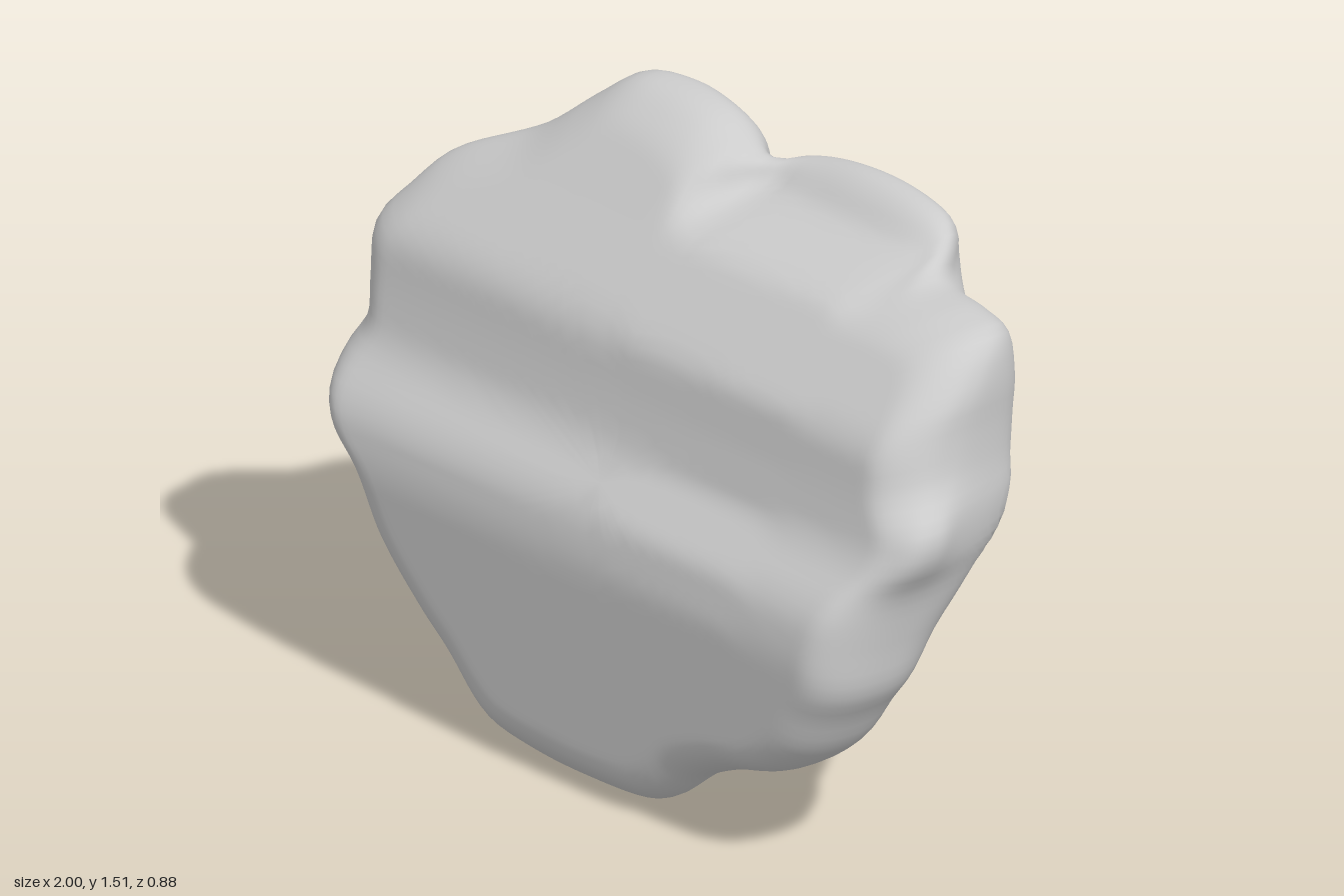
import * as THREE from 'three';

// Rim of the slab, counter-clockwise (x, y)
const rim = [
  [0, 0.0], [0.2, 0.015], [0.27, 0.045], [0.36, 0.12], [0.5, 0.185], [0.67, 0.24], [0.78, 0.32], [0.84, 0.42],
  [0.89, 0.5], [0.91, 0.62], [0.94, 0.75], [0.99, 0.84], [0.995, 0.91], [0.94, 1.0], [0.92, 1.1], [0.91, 1.2],
  [0.86, 1.3], [0.75, 1.325], [0.57, 1.34], [0.5, 1.4], [0.42, 1.43], [0.2, 1.45], [0, 1.43], [-0.07, 1.415],
  [-0.15, 1.45], [-0.25, 1.49], [-0.4, 1.51], [-0.52, 1.5], [-0.6, 1.44], [-0.7, 1.35], [-0.9, 1.25], [-0.96, 1.17],
  [-1, 1.1], [-0.99, 0.97], [-0.975, 0.88], [-1, 0.81], [-0.995, 0.74], [-0.95, 0.65], [-0.85, 0.56], [-0.75, 0.4],
  [-0.6, 0.25], [-0.5, 0.17], [-0.4, 0.08], [-0.33, 0.035], [-0.2, 0.01],
];

// Depth profiles: [y, z] for the faces, [x, z] for the rear limit
const frontLow = [[0, 0.42], [0.07, 0.45], [0.6, 0.45], [0.72, 0.42], [0.84, 0.3], [0.97, 0.26], [1.1, 0.23], [1.3, 0.03]];
const frontPlain = [...frontLow, [1.46, -0.12], [1.51, -0.17]];
const frontLedge = [...frontLow, [1.32, -0.01], [1.35, -0.19], [1.38, -0.23], [1.46, -0.27]];
const back = [[0, 0.28], [0.06, 0.23], [0.2, 0.12], [0.3, 0.1], [0.53, 0.05], [0.62, -0.02], [0.7, -0.11],
  [0.83, -0.2], [0.95, -0.25], [1.09, -0.3], [1.2, -0.39], [1.3, -0.45], [1.4, -0.45], [1.5, -0.42]];
const rear = [[-1, 0.05], [-0.95, -0.02], [-0.8, -0.12], [-0.7, -0.22], [-0.57, -0.34], [-0.38, -0.39], [-0.1, -0.37],
  [0.05, -0.43], [0.27, -0.455], [0.45, -0.42], [0.6, -0.3], [0.85, -0.25], [0.91, -0.19], [0.95, -0.02], [1, 0.08]];

// Dents (positive) and swells (negative) of the back: x, y, height, radius
const lumps = [[-0.2, 0.85, 0.05, 0.14], [-0.12, 0.23, 0.05, 0.13], [0.6, 1.06, 0.05, 0.16], [0.58, 0.34, 0.04, 0.15],
  [-0.07, 1.35, 0.09, 0.08], [-0.6, 0.92, 0.03, 0.16], [0.85, 0.82, 0.04, 0.15], [0.2, 0.9, -0.04, 0.2]];

function lerpTable(table, v) {
  if (v <= table[0][0]) return table[0][1];
  for (let i = 1; i < table.length; i++) {
    const [a, za] = table[i - 1], [b, zb] = table[i];
    if (v <= b) return za + (zb - za) * (v - a) / (b - a);
  }
  return table[table.length - 1][1];
}
// Averaged lookup softens the corners of a profile
const soft = (table, v, r) => [-1, -0.5, 0, 0.5, 1].reduce((s, o) => s + lerpTable(table, v + o * r), 0) / 5;
const bell = (x, y, cx, cy, r) => Math.exp(-((x - cx) ** 2 + (y - cy) ** 2) / (r * r));
const { smoothstep } = THREE.MathUtils;

// The upper middle steps back in a ledge, the two sides run straight up
function frontZ(x, y) {
  const w = smoothstep(x, -0.14, 0) * (1 - smoothstep(x, 0.5, 0.62));
  return soft(frontPlain, y, 0.04) * (1 - w) + soft(frontLedge, y, 0.02) * w - 0.07 * bell(x, y, -0.08, 1.38, 0.05);
}
function backZ(x, y) {
  const p = soft(back, y, 0.04), q = soft(rear, x, 0.03);
  let z = (p + q + Math.sqrt((p - q) ** 2 + 0.002)) / 2 - 0.01;
  for (const [cx, cy, h, r] of lumps) z += h * bell(x, y, cx, cy, r);
  return Math.min(z, frontZ(x, y) - 0.1);
}

function slabGeometry() {
  const N = 180, M = 32, cx = 0, cy = 0.78;
  const outline = new THREE.CatmullRomCurve3(rim.map(([x, y]) => new THREE.Vector3(x, y, 0)), true).getSpacedPoints(N);
  const pos = [], idx = [];

  // Rings run from the front centre over the rim to the back centre
  for (let j = -M; j <= M; j++) {
    const t = 1 - (Math.abs(j) / M) ** 2.3;
    for (let i = 0; i < N; i++) {
      const p = outline[i];
      const x = cx + (p.x - cx) * t, y = cy + (p.y - cy) * t;
      const edge = (1 - t) * Math.hypot(p.x - cx, p.y - cy);
      const f = frontZ(x, y), b = backZ(x, y), mid = (f + b) / 2;
      const k = 1 - Math.min(edge / (j < 0 ? 0.12 : 0.19), 1);
      const round = (1 - k ** 2.3) ** (1 / 2.3);
      pos.push(x, y, mid + ((j < 0 ? f : b) - mid) * round);
    }
  }
  for (let j = 0; j < 2 * M; j++) {
    for (let i = 0; i < N; i++) {
      const a = j * N + i, b = j * N + (i + 1) % N, c = a + N, d = b + N;
      if (j > 0) idx.push(a, c, b);
      if (j < 2 * M - 1) idx.push(b, c, d);
    }
  }
  const g = new THREE.BufferGeometry();
  g.setAttribute('position', new THREE.Float32BufferAttribute(pos, 3));
  g.setIndex(idx);
  g.computeVertexNormals();
  // Coincident centre points share one normal per face
  const n = g.attributes.normal;
  for (const start of [0, 2 * M * N]) {
    const sum = new THREE.Vector3();
    for (let i = 0; i < N; i++) sum.add(new THREE.Vector3().fromBufferAttribute(n, start + i));
    sum.normalize();
    for (let i = 0; i < N; i++) n.setXYZ(start + i, sum.x, sum.y, sum.z);
  }
  return g;
}

export function createModel() {
  const group = new THREE.Group();
  group.name = 'rock';
  const slab = new THREE.Mesh(slabGeometry(), new THREE.MeshStandardMaterial({ color: 0xcccccc }));
  slab.name = 'leaningRockSlab';
  group.add(slab);
  return group;
}
